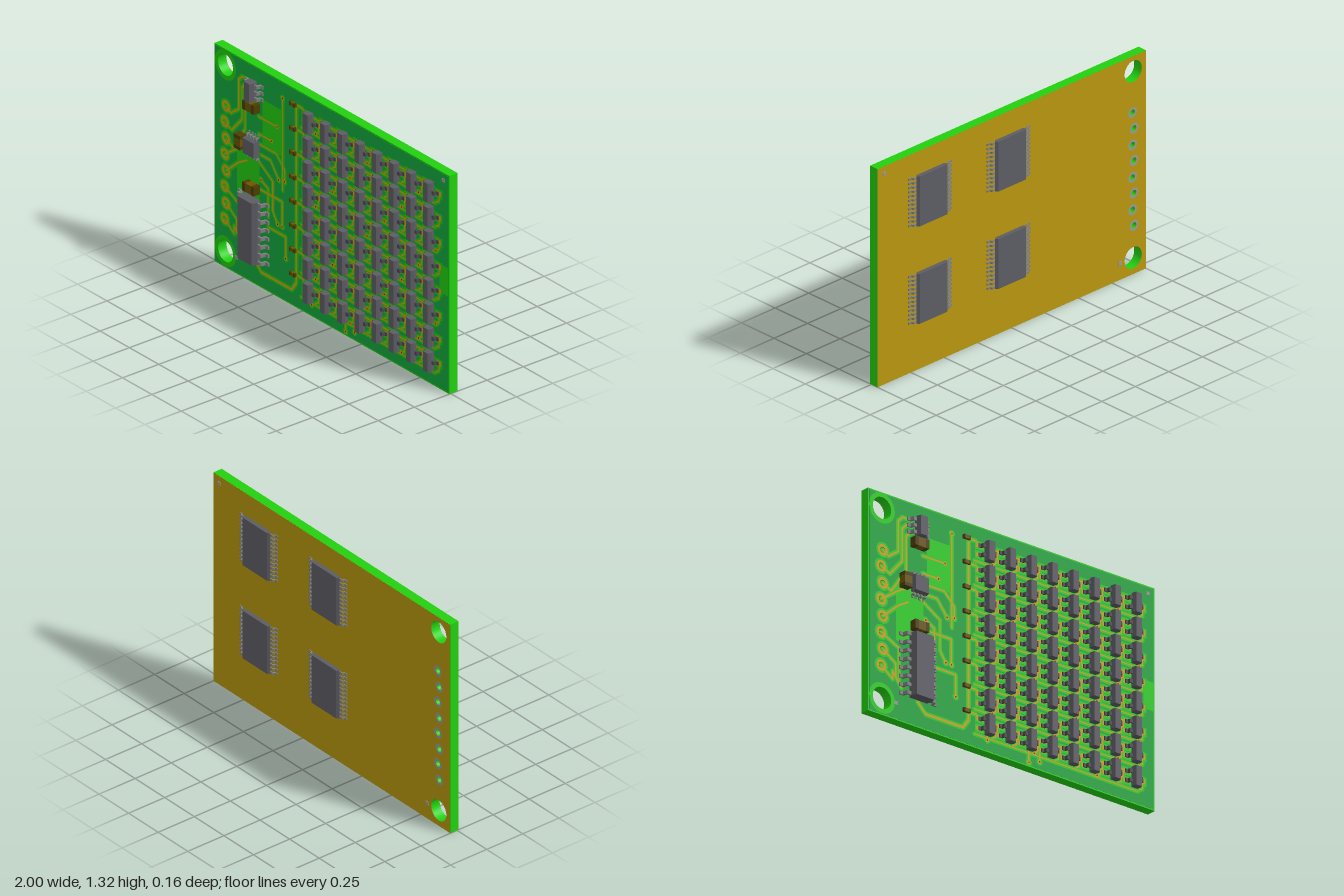
import * as THREE from 'three';
import { mergeGeometries } from 'three/addons/utils/BufferGeometryUtils.js';

const mat = (color) => new THREE.MeshStandardMaterial({ color });
const M = {
  board: mat(0x22d010), pour: mat(0x12a83c), back: mat(0xb8960e), copper: mat(0xd9a010),
  chip: mat(0x5c5c64), lead: mat(0x808080), dark: mat(0x4a4a50), brown: mat(0x6b5600), brownEnd: mat(0x4c3e00),
  pad: mat(0x9a9a9a),
};
const H = 1.315, FRONT = 0.010, BACK = -0.047;
const PITCH = 0.1463;
const mounts = [[-0.904, 1.222], [-0.904, 0.099]];
const pins = Array.from({ length: 8 }, (_, i) => [i % 2 ? -0.909 : -0.898, 0.976 - i * 0.0976]);

function mesh(name, geo, material, x = 0, y = 0, z = 0) {
  const m = new THREE.Mesh(geo, material);
  m.name = name;
  m.position.set(x, y, z);
  return m;
}

// Board outline with mounting and pin holes
function plate(inset, depth) {
  const s = new THREE.Shape();
  const x = 1 - inset, y0 = inset, y1 = H - inset;
  s.moveTo(-x, y0).lineTo(x, y0).lineTo(x, y1).lineTo(-x, y1).closePath();
  const hole = ([hx, hy], r) => s.holes.push(new THREE.Path().absarc(hx, hy, r, 0, Math.PI * 2, true));
  mounts.forEach((p) => hole(p, 0.064));
  pins.forEach((p) => hole(p, 0.018));
  return new THREE.ExtrudeGeometry(s, { depth, bevelEnabled: false, curveSegments: 20 });
}

// Extrude an x/z profile along y, centred
function extrudeY(points, length) {
  const s = new THREE.Shape(points.map(([x, z]) => new THREE.Vector2(x, -z)).reverse());
  return new THREE.ExtrudeGeometry(s, { depth: length, bevelEnabled: false })
    .translate(0, 0, -length / 2).rotateX(-Math.PI / 2).rotateX(Math.PI)
    .applyMatrix4(new THREE.Matrix4().makeRotationY(0));
}

// Moulded body with sloping flanks
function bodyGeo(w, h, z0, z1, b) {
  const a = w / 2, zm = (z0 + z1) / 2;
  return orient(extrudeY([[-a + b, z0], [a - b, z0], [a, zm], [a - b, z1], [-a + b, z1], [-a, zm]], h));
}

// Gull-wing lead toward +x
function leadGeo(x0, x1, z, t, width) {
  const k = x0 + (x1 - x0) * 0.4, f = x0 + (x1 - x0) * 0.6;
  return orient(extrudeY([[x0 - 0.01, z - t], [k - t / 2, z - t], [f - t, 0], [x1, 0], [x1, t],
    [f, t], [k + t / 2, z], [x0 - 0.01, z]], width));
}

// Keep the profile's z pointing away from the board
function orient(g) {
  g.computeBoundingBox();
  return g.boundingBox.max.z < 0.001 ? g.rotateX(Math.PI) : g;
}

// Package: right and left are lists of lead offsets along y
function chip(name, { w, h, z0, z1, b, reach, t, lw, right, left }, leadMat = M.lead) {
  const g = new THREE.Group();
  g.name = name;
  g.add(mesh('body', bodyGeo(w, h, z0, z1, b), M.chip));
  const lead = leadGeo(w / 2, reach, (z0 + z1) / 2, t, lw);
  const parts = [];
  for (const y of right) parts.push(lead.clone().translate(0, y, 0));
  for (const y of left) parts.push(lead.clone().rotateZ(Math.PI).translate(0, y, 0));
  g.add(mesh('leads', mergeGeometries(parts), leadMat));
  return g;
}
const row = (n, p) => Array.from({ length: n }, (_, i) => (i - (n - 1) / 2) * p);

// Two-terminal block
function block(name, x, y, w, h, d, vertical) {
  const g = new THREE.Group();
  g.name = name;
  g.position.set(x, y, FRONT + d / 2);
  const long = vertical ? h : w;
  for (const s of [-1, 1]) {
    const e = mesh('terminal', new THREE.BoxGeometry(long * 0.24, vertical ? w : h, d), M.brownEnd, s * long * 0.38);
    g.add(e);
  }
  g.add(mesh('core', new THREE.BoxGeometry(long * 0.52, (vertical ? w : h) * 0.97, d * 0.97), M.brown));
  if (vertical) g.rotation.z = Math.PI / 2;
  return g;
}

export function createModel() {
  const model = new THREE.Group();
  model.name = 'circuitBoard';
  const place = (o, x, y, z = FRONT) => { o.position.set(x, y, z); model.add(o); return o; };

  // Board core, front pour and back layer
  model.add(mesh('boardCore', plate(0, FRONT - BACK), M.board, 0, 0, BACK));
  model.add(mesh('frontPour', plate(0.008, 0.0007), M.pour, 0, 0, FRONT));
  model.add(mesh('backLayer', plate(0.001, 0.001), M.back, 0, 0, BACK - 0.001));

  // Flat artwork: clearance under copper
  const clear = [], copper = [], viaHoles = [];
  const rect = (list, x, y, w, h, a = 0) => list.push(new THREE.PlaneGeometry(w, h).rotateZ(a).translate(x, y, 0));
  const disc = (list, x, y, r) => list.push(new THREE.CircleGeometry(r, 14).translate(x, y, 0));
  const ring = (list, [x, y], r0, r1) => list.push(new THREE.RingGeometry(r0, r1, 28).translate(x, y, 0));
  const pad = (x, y, w, h) => { rect(clear, x, y, w + 0.024, h + 0.024); rect(copper, x, y, w, h); };
  const via = (x, y) => { disc(clear, x, y, 0.022); disc(copper, x, y, 0.013); disc(viaHoles, x, y, 0.005); };
  function trace(points, w = 0.01, ends = true) {
    points.forEach(([x, y], i) => {
      disc(copper, x, y, w / 2);
      disc(clear, x, y, w / 2 + 0.01);
      if (!i) return;
      const [px, py] = points[i - 1], l = Math.hypot(x - px, y - py), a = Math.atan2(y - py, x - px);
      rect(copper, (x + px) / 2, (y + py) / 2, l, w, a);
      rect(clear, (x + px) / 2, (y + py) / 2, l, w + 0.02, a);
    });
    if (ends) via(...points[points.length - 1]);
  }
  mounts.forEach((p) => ring(clear, p, 0.064, 0.09));
  pins.forEach((p) => { ring(clear, p, 0.018, 0.046); ring(copper, p, 0.018, 0.034); });
  rect(clear, 0.955, 0.67, 0.07, 0.17);
  rect(clear, -0.51, 1.0, 0.16, 0.28);
  rect(clear, -0.71, 0.64, 0.19, 0.34);

  // Traces around the left-hand chips
  trace([[-0.30, 1.2], [-0.30, 0.15], [-0.34, 0.094], [-0.6, 0.094], [-0.655, 0.15]], 0.014, false);
  trace([[-0.417, 0.66], [-0.417, 1.215]]);
  trace([[-0.62, 1.024], [-0.465, 1.024]]);
  trace([[-0.62, 0.92], [-0.51, 0.92]]);
  trace([[-0.62, 0.86], [-0.47, 0.86], [-0.4, 0.79], [-0.4, 0.72]]);
  trace([[-0.6, 0.80], [-0.52, 0.80], [-0.45, 0.71]]);
  trace([[-0.63, 0.76], [-0.5, 0.68], [-0.5, 0.5], [-0.46, 0.44]]);
  trace([[-0.54, 0.45], [-0.54, 0.62], [-0.6, 0.65]]);
  trace([[-0.54, 0.39], [-0.39, 0.39], [-0.39, 0.26]]);
  trace([[-0.62, 0.59], [-0.42, 0.59], [-0.42, 0.44]]);
  for (let i = 0; i < 3; i++) {
    const x = -0.79 + i * 0.027, y = 1.21 - i * 0.037;
    trace([[-0.7, y], [x + 0.03, y], [x, y - 0.03], [x, 1.0 - i * 0.05], [-0.86 + i * 0.01, 0.95 - i * 0.1], pins[i]], 0.01, false);
  }
  trace([pins[3], [-0.8, 0.76], [-0.75, 0.79]], 0.01, false);
  trace([pins[4], [-0.79, 0.68], [-0.72, 0.72]], 0.01, false);
  for (let i = 5; i < 8; i++) {
    const x = -0.83 + (7 - i) * 0.022;
    trace([pins[i], [x, pins[i][1] - 0.06], [x, 0.28 - (7 - i) * 0.03], [-0.77, 0.2]], 0.01, false);
  }

  // Transistor array, with pads, row traces and row resistors
  const sot = { w: 0.054, h: 0.115, z0: 0.004, z1: 0.046, b: 0.007, reach: 0.062, t: 0.008, lw: 0.022, right: [0], left: [-0.028, 0.028] };
  const proto = chip('transistor', sot, M.dark);
  for (let j = 0; j < 8; j++) {
    const y = 1.174 - j * PITCH;
    for (let i = 0; i < 8; i++) {
      const x = -0.171 + i * PITCH;
      place(proto.clone(), x, y);
      pad(x + 0.056, y, 0.042, 0.032);
      for (const s of [-1, 1]) pad(x - 0.052, y + s * 0.028, 0.042, 0.026);
      trace([[x + 0.06, y], [x + 0.06, y - 0.045], [x + 0.035, y - 0.06]], 0.008, (i + j) % 3 === 0);
    }
    trace([[-0.22, y + 0.028], [0.86, y + 0.028]], 0.01, false);
    trace([[-0.3, y + 0.048], [-0.25, y + 0.048], [-0.22, y + 0.028]], 0.01, false);
    trace([[-0.26, y - 0.07], [0.88, y - 0.07]], 0.007, false);
    model.add(block('rowResistor', -0.32, y + 0.048, 0.046, 0.022, 0.018));
  }
  for (const [x, y] of [[-0.17, 0.07], [0.12, 0.025], [0.195, 0.05]]) trace([[x, 0.1], [x, y]]);

  // Layers of artwork
  const layer = (name, list, m, k) => model.add(mesh(name, mergeGeometries(list), m, 0, 0, FRONT + 0.0007 * k));
  layer('traceClearance', clear, M.board, 2);
  layer('copperTraces', copper, M.copper, 3);
  layer('viaHoles', viaHoles, M.brownEnd, 4);

  // Front chips
  place(chip('driverChip', { w: 0.06, h: 0.113, z0: 0.005, z1: 0.058, b: 0.007, reach: 0.075, t: 0.009, lw: 0.02,
    right: row(3, 0.038), left: row(3, 0.038) }), -0.655, 1.174);
  place(chip('controlChip', { w: 0.105, h: 0.092, z0: 0.004, z1: 0.045, b: 0.008, reach: 0.078, t: 0.007, lw: 0.012,
    right: row(4, 0.0255), left: row(4, 0.0255) }), -0.658, 0.832).rotation.z = Math.PI / 2;
  place(chip('mainChip', { w: 0.146, h: 0.374, z0: 0.008, z1: 0.07, b: 0.014, reach: 0.128, t: 0.01, lw: 0.02,
    right: row(8, 0.05), left: row(8, 0.05) }), -0.658, 0.342);

  // Capacitors
  model.add(block('capacitor', -0.658, 1.078, 0.096, 0.054, 0.046));
  model.add(block('capacitor', -0.754, 0.832, 0.054, 0.084, 0.046, true));
  model.add(block('capacitor', -0.658, 0.586, 0.096, 0.054, 0.046));

  // Back chips, facing -z
  const wide = { w: 0.23, h: 0.3, z0: 0.006, z1: 0.032, b: 0.012, reach: 0.16, t: 0.006, lw: 0.011,
    right: row(12, 0.0255), left: row(12, 0.0255) };
  const backChip = chip('backChip', wide);
  for (const x of [0.027, 0.612]) for (const y of [1.03, 0.443]) {
    place(backChip.clone(), x, y, BACK - 0.001).rotation.y = Math.PI;
  }

  // Pin rings on the back, and alignment marks on both faces
  const rings = [];
  pins.forEach((p) => ring(rings, [-p[0], p[1]], 0.018, 0.032));
  model.add(mesh('backPinRings', mergeGeometries(rings).rotateY(Math.PI), M.pad, 0, 0, BACK - 0.0025));
  for (const [x, y] of [[0.95, 1.27], [-0.807, 0.099]]) {
    for (const z of [FRONT + 0.001, BACK - 0.002]) {
      model.add(mesh('alignmentMark', new THREE.BoxGeometry(0.022, 0.022, 0.006), M.pad, x, y, z));
    }
  }
  return model;
}
